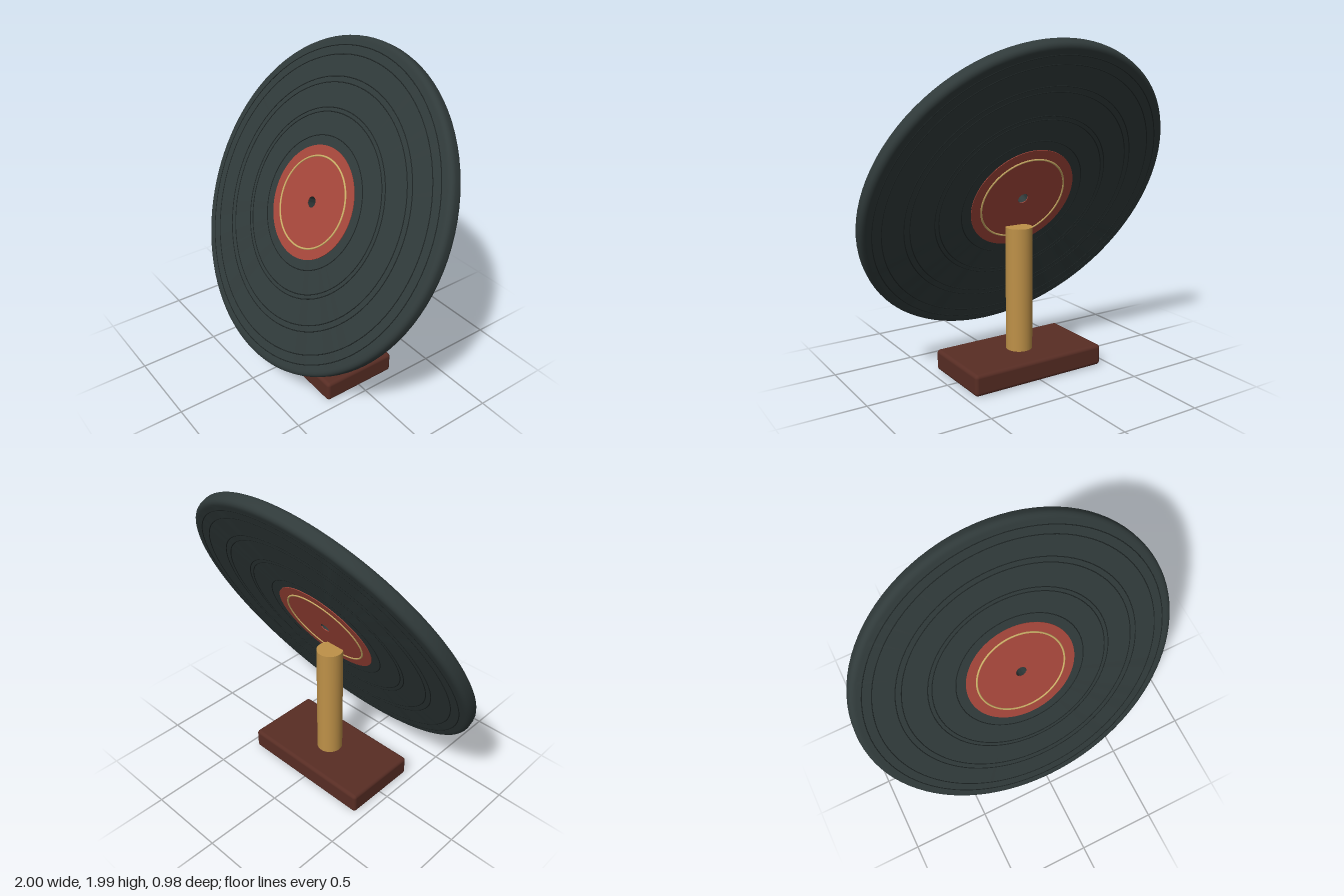
import * as THREE from 'three';
import { toCreasedNormals } from 'three/addons/utils/BufferGeometryUtils.js';
import { RoundedBoxGeometry } from 'three/addons/geometries/RoundedBoxGeometry.js';

const material = (name, color) => {
  const m = new THREE.MeshStandardMaterial({ color });
  m.name = name;
  return m;
};

export function createModel() {
  const vinyl = material('vinyl', 0x303a3a);
  const groove = material('groove', 0x1e2525);
  const paper = material('label red', 0xa5463a);
  const gold = material('gold', 0xd0b068);
  const brass = material('brass', 0xbe9148);
  const wood = material('dark wood', 0x582d24);

  const add = (parent, name, geometry, mat, y = 0) => {
    const mesh = new THREE.Mesh(geometry, mat);
    mesh.name = name;
    mesh.position.y = y;
    parent.add(mesh);
    return mesh;
  };
  const lathe = (points) => toCreasedNormals(
    new THREE.LatheGeometry(points.map(([r, y]) => new THREE.Vector2(r, y)), 96), 0.5);

  const model = new THREE.Group();
  model.name = 'recordOnStand';

  // Stand
  add(model, 'base', new RoundedBoxGeometry(0.89, 0.13, 0.49, 3, 0.022), wood, 0.065);
  add(model, 'post', new THREE.CylinderGeometry(0.081, 0.081, 0.78, 32), brass, 0.5);

  // Record, built flat around y and then leaned back
  const record = new THREE.Group();
  record.name = 'record';
  record.position.y = 1.09;
  record.rotation.x = Math.PI / 2 - 0.48;
  model.add(record);

  const half = 0.045, hole = 0.033, bevel = 0.03;
  const profile = [[hole, half], [hole, -half], [0.96, -half]];
  for (const side of [-1, 1]) {
    for (let i = 0; i <= 4; i++) {
      const a = (side < 0 ? i - 4 : i) * Math.PI / 8;
      profile.push([1 - bevel + bevel * Math.cos(a), side * (half - bevel) + bevel * Math.sin(a)]);
    }
  }
  profile.push([0.96, half], [hole, half]);
  add(record, 'disc', lathe(profile), vinyl);

  // Labels, trim rings and grooves on both faces
  const ring = (radius, tube) =>
    new THREE.TorusGeometry(radius, tube, 6, 96).rotateX(Math.PI / 2);
  for (const [side, s] of [['front', 1], ['back', -1]]) {
    const h = 0.003;
    add(record, side + 'Label',
      lathe([[hole, h], [hole, -h], [0.34, -h], [0.34, h], [hole, h]]), paper, s * (half + 0.001));
    add(record, side + 'LabelTrim', ring(0.275, 0.006), gold, s * (half + 0.004));
    for (const r of [0.4, 0.54, 0.565, 0.715, 0.75, 0.88, 0.935]) {
      add(record, side + 'Groove', ring(r, 0.003), groove, s * half);
    }
  }
  return model;
}
